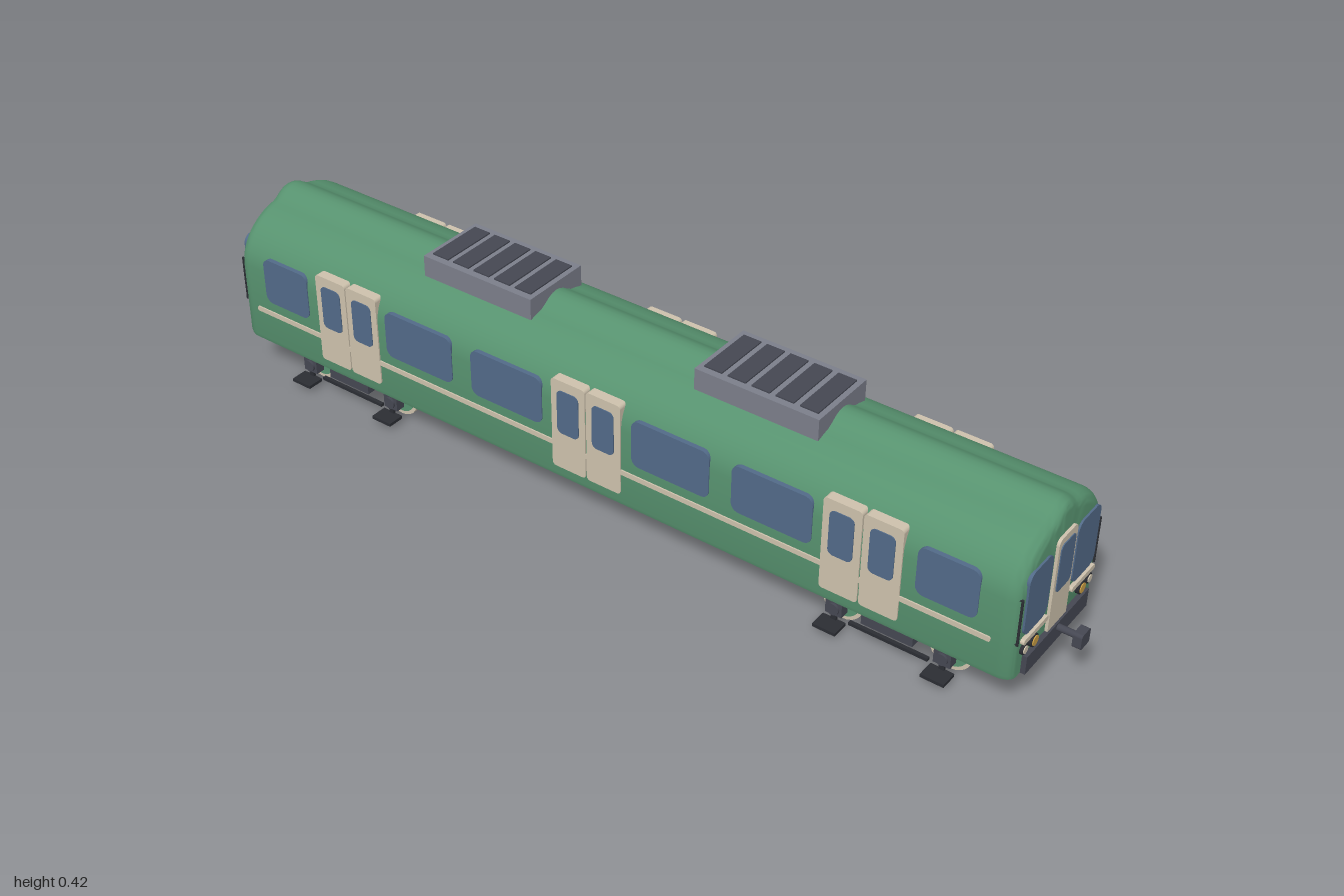
import * as THREE from 'three';
import { toCreasedNormals } from 'three/addons/utils/BufferGeometryUtils.js';

const paint = (name, color) => {
  const m = new THREE.MeshStandardMaterial({ color });
  m.name = name;
  return m;
};

export function createModel() {
  const green = paint('green paint', 0x57926f);
  const cream = paint('cream paint', 0xcdc1ac);
  const glass = paint('blue glass', 0x526a88);
  const dark = paint('dark metal', 0x454752);
  const black = paint('black metal', 0x2b2d33);
  const grey = paint('grey metal', 0x7b7e8a);
  const steel = paint('axle steel', 0x858f9e);
  const gold = paint('gold lamp', 0xc89d45);

  const train = new THREE.Group();
  train.name = 'railcar';

  const add = (parent, name, geo, mat, x = 0, y = 0, z = 0) => {
    const m = new THREE.Mesh(geo, mat);
    m.name = name;
    m.position.set(x, y, z);
    parent.add(m);
    return m;
  };
  const group = (parent, name) => {
    const g = new THREE.Group();
    g.name = name;
    parent.add(g);
    return g;
  };
  const box = (parent, name, mat, w, h, d, x, y, z) =>
    add(parent, name, new THREE.BoxGeometry(w, h, d), mat, x, y, z);
  // cylinder lying along x or z
  const rod = (parent, name, mat, r, len, axis, x, y, z) => {
    const g = new THREE.CylinderGeometry(r, r, len, 24);
    if (axis === 'x') g.rotateZ(Math.PI / 2);
    if (axis === 'z') g.rotateX(Math.PI / 2);
    return add(parent, name, g, mat, x, y, z);
  };
  // rounded slab whose outer face lies at z = face
  const panel = (parent, name, mat, x0, x1, y0, y1, r, face, depth) => {
    const s = new THREE.Shape();
    s.moveTo(x0 + r, y0);
    s.lineTo(x1 - r, y0);
    s.absarc(x1 - r, y0 + r, r, -Math.PI / 2, 0);
    s.lineTo(x1, y1 - r);
    s.absarc(x1 - r, y1 - r, r, 0, Math.PI / 2);
    s.lineTo(x0 + r, y1);
    s.absarc(x0 + r, y1 - r, r, Math.PI / 2, Math.PI);
    s.lineTo(x0, y0 + r);
    s.absarc(x0 + r, y0 + r, r, Math.PI, Math.PI * 1.5);
    const g = new THREE.ExtrudeGeometry(s, { depth, bevelEnabled: false, curveSegments: 5 });
    return add(parent, name, g, mat, 0, 0, face - depth);
  };

  // Body shell: one cross-section, drawn in at both ends
  const half = [[0.153, 0.09], [0.156, 0.1], [0.156, 0.27], [0.154, 0.288], [0.149, 0.304], [0.141, 0.32],
    [0.13, 0.335], [0.117, 0.348], [0.1, 0.36], [0.08, 0.37], [0.06, 0.376], [0.046, 0.379],
    [0.034, 0.386], [0.022, 0.394], [0.011, 0.3985]];
  const section = [...half, [0, 0.4], ...half.slice().reverse().map(([x, y]) => [-x, y])];
  const rings = [];
  for (let i = 0; i <= 6; i++) {
    const a = (i / 6) * Math.PI / 2;
    rings.push([-0.935 + 0.03 * (1 - Math.sin(a)), 1 - Math.cos(a)]);
  }
  rings.reverse();
  rings.reverse();
  const ends = rings.map(([z, inset]) => [z, inset]).sort((a, b) => a[0] - b[0]);
  const loops = [...ends, ...ends.slice().reverse().map(([z, k]) => [-z, k])].map(([z, k]) =>
    section.map(([x, y]) => new THREE.Vector3(
      x * (1 - 0.13 * k), y - k * 0.022 * THREE.MathUtils.clamp((y - 0.1) / 0.25, 0, 1), z)));
  const pos = [];
  const tri = (...pts) => pts.forEach((p) => pos.push(p.x, p.y, p.z));
  const n = section.length;
  for (let i = 0; i < loops.length - 1; i++) {
    for (let j = 0; j < n; j++) {
      const a = loops[i][j], b = loops[i][(j + 1) % n];
      const c = loops[i + 1][(j + 1) % n], d = loops[i + 1][j];
      tri(a, b, c);
      tri(a, c, d);
    }
  }
  const first = loops[0], last = loops[loops.length - 1];
  for (let j = 0; j < n; j++) {
    const k = (j + 1) % n;
    tri(new THREE.Vector3(0, 0.2, last[0].z), last[j], last[k]);
    tri(new THREE.Vector3(0, 0.2, first[0].z), first[k], first[j]);
  }
  const shell = new THREE.BufferGeometry();
  shell.setAttribute('position', new THREE.Float32BufferAttribute(pos, 3));
  add(train, 'bodyShell', toCreasedNormals(shell, 0.6), green);

  // Sides: windows, stripe and three pairs of doors
  for (const s of [1, -1]) {
    const side = group(train, s > 0 ? 'leftSide' : 'rightSide');
    side.rotation.y = s * Math.PI / 2;
    panel(side, 'stripe', cream, -0.89, 0.89, 0.166, 0.177, 0.004, 0.159, 0.02);
    for (const m of [1, -1]) {
      for (const [c, w] of [[0.797, 0.125], [0.428, 0.177], [0.199, 0.18]]) {
        panel(side, 'sideWindow', glass, m * c - w / 2, m * c + w / 2, 0.2, 0.306, 0.018, 0.158, 0.025);
      }
    }
    for (const c of [-0.622, 0, 0.622]) {
      for (const m of [-0.0425, 0.0425]) {
        const x = c + m;
        panel(side, 'sideDoor', cream, x - 0.041, x + 0.041, 0.117, 0.325, 0.008, 0.159, 0.028);
        panel(side, 'sideDoorWindow', glass, x - 0.026, x + 0.026, 0.203, 0.303, 0.012, 0.161, 0.006);
      }
    }
  }

  // Ends: windows, gangway door, lamps, rails, beam and coupler
  for (const s of [1, -1]) {
    const end = group(train, s > 0 ? 'frontEnd' : 'backEnd');
    end.rotation.y = s > 0 ? 0 : Math.PI;
    panel(end, 'endDoor', cream, -0.035, 0.035, 0.1, 0.335, 0.012, 0.941, 0.02);
    panel(end, 'endDoorWindow', glass, -0.027, 0.027, 0.213, 0.32, 0.011, 0.943, 0.006);
    for (const m of [1, -1]) {
      const a = m > 0 ? 0.046 : -0.132;
      panel(end, 'endWindow', glass, a, a + 0.086, 0.182, 0.32, 0.02, 0.939, 0.02);
      panel(end, 'endTrim', cream, a - 0.002, a + 0.088, 0.167, 0.178, 0.005, 0.943, 0.02);
      rod(end, 'headlampRing', black, 0.0135, 0.02, 'z', m * 0.089, 0.15, 0.933);
      rod(end, 'headlamp', gold, 0.0105, 0.02, 'z', m * 0.089, 0.15, 0.935);
      rod(end, 'markerLampRing', black, 0.011, 0.02, 'z', m * 0.121, 0.15, 0.931);
      rod(end, 'markerLamp', cream, 0.008, 0.02, 'z', m * 0.121, 0.15, 0.933);
      rod(end, 'handrail', black, 0.0025, 0.103, 'y', m * 0.144, 0.223, 0.935);
      for (const y of [0.174, 0.272]) {
        rod(end, 'handrailBracket', black, 0.002, 0.02, 'z', m * 0.144, y, 0.927);
      }
    }
    box(end, 'bufferBeam', dark, 0.234, 0.04, 0.04, 0, 0.11, 0.925);
    rod(end, 'couplerShaft', dark, 0.007, 0.06, 'z', 0, 0.12, 0.965);
    panel(end, 'couplerHead', dark, -0.017, 0.017, 0.103, 0.136, 0.006, 1, 0.018);
  }

  // Roof units with slatted vents
  for (const z of [0.335, -0.332]) {
    const unit = group(train, 'roofUnit');
    unit.position.z = z;
    box(unit, 'roofUnitCase', grey, 0.16, 0.05, 0.275, 0, 0.392, 0);
    for (let i = -2; i <= 2; i++) {
      box(unit, 'roofVent', dark, 0.13, 0.006, 0.04, 0, 0.417, i * 0.053);
    }
  }

  // Equipment boxes below the floor
  for (const [z0, z1, y] of [[0.095, 0.4, 0.062], [-0.37, -0.085, 0.052], [-0.06, 0.07, 0.072]]) {
    box(train, 'underfloorBox', dark, 0.22, 0.095 - y, z1 - z0, 0, (0.095 + y) / 2, (z0 + z1) / 2);
  }

  // Bogies
  for (const z of [0.669, -0.669]) {
    const bogie = group(train, 'bogie');
    bogie.position.z = z;
    box(bogie, 'bolster', dark, 0.19, 0.04, 0.12, 0, 0.068, 0);
    for (const m of [1, -1]) {
      box(bogie, 'sideFrame', dark, 0.014, 0.016, 0.29, m * 0.113, 0.072, 0);
      box(bogie, 'springBox', dark, 0.022, 0.04, 0.11, m * 0.114, 0.062, 0);
      box(bogie, 'tieBar', black, 0.008, 0.007, 0.17, m * 0.115, 0.022, 0);
    }
    for (const w of [0.116, -0.116]) {
      rod(bogie, 'axle', steel, 0.007, 0.21, 'x', 0, 0.046, w);
      for (const m of [1, -1]) {
        rod(bogie, 'wheelTyre', cream, 0.045, 0.012, 'x', m * 0.084, 0.045, w);
        rod(bogie, 'wheelDisc', green, 0.037, 0.014, 'x', m * 0.084, 0.045, w);
        box(bogie, 'axleBox', dark, 0.022, 0.036, 0.036, m * 0.112, 0.048, w);
        rod(bogie, 'axleCap', dark, 0.013, 0.006, 'x', m * 0.125, 0.046, w);
        box(bogie, 'stepHanger', black, 0.006, 0.026, 0.012, m * 0.119, 0.024, w);
        box(bogie, 'step', black, 0.038, 0.007, 0.05, m * 0.136, 0.015, w);
      }
    }
  }
  return train;
}
